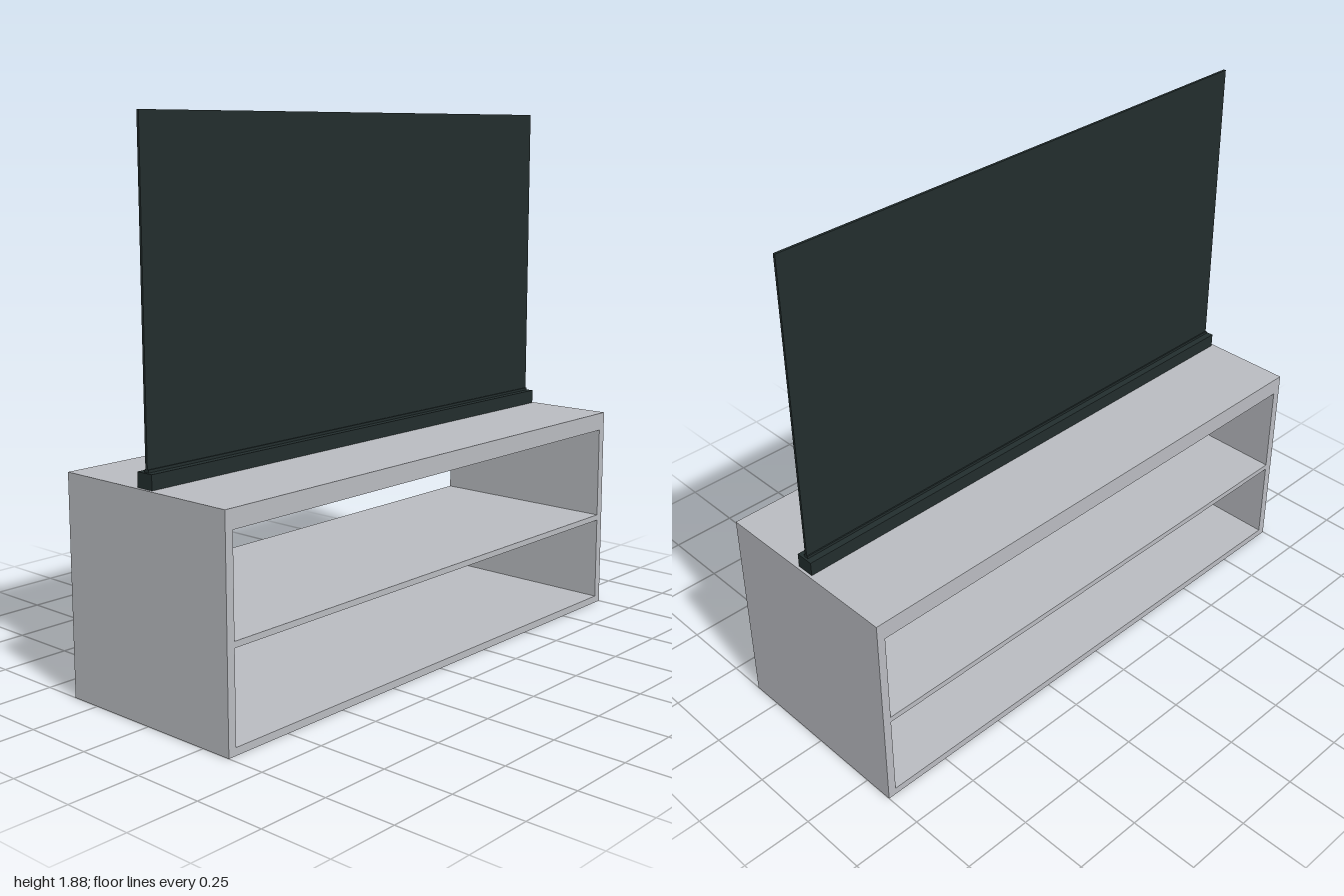
import * as THREE from 'three';

const cabinetGrey = new THREE.MeshStandardMaterial({ color: 0xb9bbc0 });
cabinetGrey.name = 'cabinetGrey';
const screenBlack = new THREE.MeshStandardMaterial({ color: 0x222d2d });
screenBlack.name = 'screenBlack';

// Traces a rectangle, symmetric about x = 0, into a shape or hole
function rect(path, halfWidth, y0, y1) {
  path.moveTo(-halfWidth, y0);
  path.lineTo(halfWidth, y0);
  path.lineTo(halfWidth, y1);
  path.lineTo(-halfWidth, y1);
  path.closePath();
  return path;
}

// Box standing on y0, centred on x and z
function box(name, width, y0, y1, depth) {
  const mesh = new THREE.Mesh(new THREE.BoxGeometry(width, y1 - y0, depth), screenBlack);
  mesh.position.y = (y0 + y1) / 2;
  mesh.name = name;
  return mesh;
}

export function createModel() {
  const model = new THREE.Group();
  model.name = 'televisionOnStand';

  // Cabinet shell with two compartments open front to back
  const depth = 0.724;
  const outline = rect(new THREE.Shape(), 1, 0, 0.755);
  for (const [y0, y1] of [[0.026, 0.333], [0.354, 0.69]]) {
    outline.holes.push(rect(new THREE.Path(), 0.97, y0, y1));
  }
  const shell = new THREE.ExtrudeGeometry(outline, { depth, bevelEnabled: false });
  shell.translate(0, 0, -depth / 2);
  const cabinet = new THREE.Mesh(shell, cabinetGrey);
  cabinet.name = 'cabinet';
  model.add(cabinet);

  // Television: base bar, narrow slot lip and thin panel
  const television = new THREE.Group();
  television.name = 'television';
  television.add(
    box('baseBar', 1.98, 0.755, 0.805, 0.066),
    box('slotLip', 1.964, 0.805, 0.814, 0.018),
    box('screenPanel', 1.964, 0.814, 1.885, 0.009),
  );
  model.add(television);
  return model;
}
